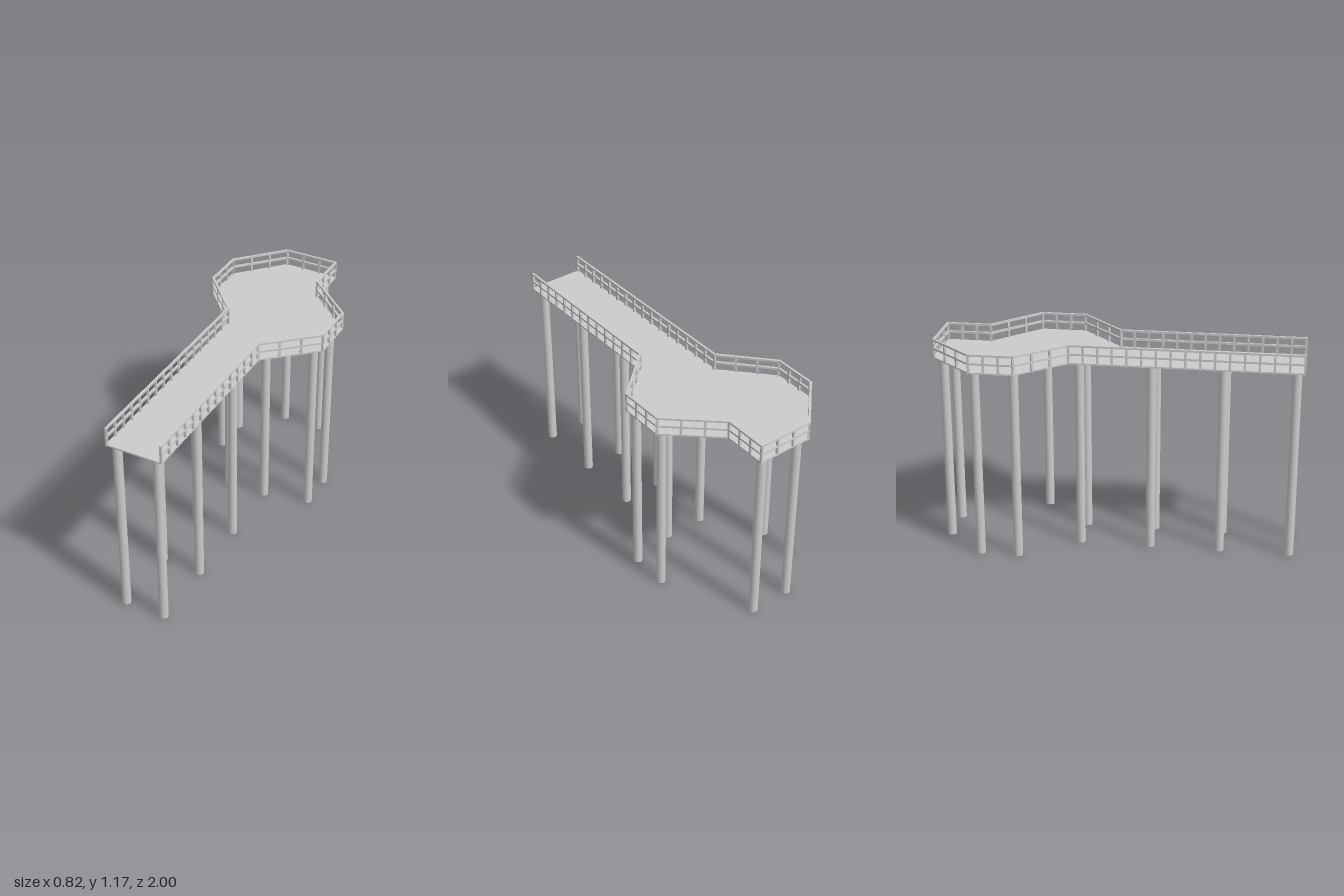
import * as THREE from 'three';

const material = new THREE.MeshStandardMaterial({ color: 0xcccccc });
const DECK_BOTTOM = 1.059, DECK_TOP = 1.067, RAIL_TOP = 1.166, BAR = 0.012;

// Deck outline as [x, z, bays of the railing that starts here], open at the front end
const outline = [
  [0.14, 1, 13], [0.14, -0.02, 3], [0.405, -0.26, 3], [0.405, -0.51, 3],
  [0.14, -0.75, 3], [0.14, -1, 3], [-0.18, -1, 3], [-0.41, -0.75, 3],
  [-0.41, -0.51, 3], [-0.18, -0.26, 16], [-0.18, 1, 0],
];

// Pile positions as [x, z]
const piles = [
  [0.345, -0.265], [0.345, -0.475], [-0.355, -0.52], [-0.355, -0.73],
  [0.09, -0.95], [-0.14, -0.95],
];
for (const z of [0.955, 0.57, 0.185, -0.205]) piles.push([0.09, z], [-0.14, z]);

function addMesh(parent, name, geometry, x, y, z, turn = 0) {
  const mesh = new THREE.Mesh(geometry, material);
  mesh.name = name;
  mesh.position.set(x, y, z);
  mesh.rotation.y = turn;
  parent.add(mesh);
  return mesh;
}

export function createModel() {
  const model = new THREE.Group();
  model.name = 'pier';

  // Flat deck; shape y becomes -z once laid down
  const shape = new THREE.Shape(outline.map(([x, z]) => new THREE.Vector2(x, -z)));
  const deck = new THREE.ExtrudeGeometry(shape, { depth: DECK_TOP - DECK_BOTTOM, bevelEnabled: false });
  deck.rotateX(-Math.PI / 2);
  addMesh(model, 'deck', deck, 0, DECK_BOTTOM, 0);

  // Round piles down to the ground
  const pileGeometry = new THREE.CylinderGeometry(0.025, 0.025, DECK_BOTTOM, 24);
  for (const [x, z] of piles) addMesh(model, 'pile', pileGeometry, x, DECK_BOTTOM / 2, z);

  // Railing, set half a bar inside the deck edge
  const railing = new THREE.Group();
  railing.name = 'railing';
  model.add(railing);
  const line = outline.map(([x, z]) => new THREE.Vector3(
    x - Math.sign(x) * BAR / 2, 0, THREE.MathUtils.clamp(z, -1 + BAR / 2, 1 - BAR / 2)));
  const postBottom = DECK_BOTTOM - 0.002;
  const postHeight = RAIL_TOP - 0.002 - postBottom;
  const postGeometry = new THREE.BoxGeometry(BAR, postHeight, BAR);

  for (let i = 0; i < line.length - 1; i++) {
    const a = line[i], b = line[i + 1], bays = outline[i][2];
    const run = b.clone().sub(a);
    const turn = Math.atan2(run.x, run.z);
    const mid = a.clone().add(b).multiplyScalar(0.5);

    // Top and middle rails
    const bar = new THREE.BoxGeometry(BAR, 0.011, run.length() + BAR * 0.6);
    addMesh(railing, 'topRail', bar, mid.x, RAIL_TOP - 0.0055, mid.z, turn);
    addMesh(railing, 'middleRail', bar, mid.x, 1.113, mid.z, turn);

    // Posts, with the closing one only on the last run
    const last = i === line.length - 2 ? bays : bays - 1;
    for (let k = 0; k <= last; k++) {
      const p = a.clone().lerp(b, k / bays);
      addMesh(railing, 'post', postGeometry, p.x, postBottom + postHeight / 2, p.z, turn);
    }
  }
  return model;
}
